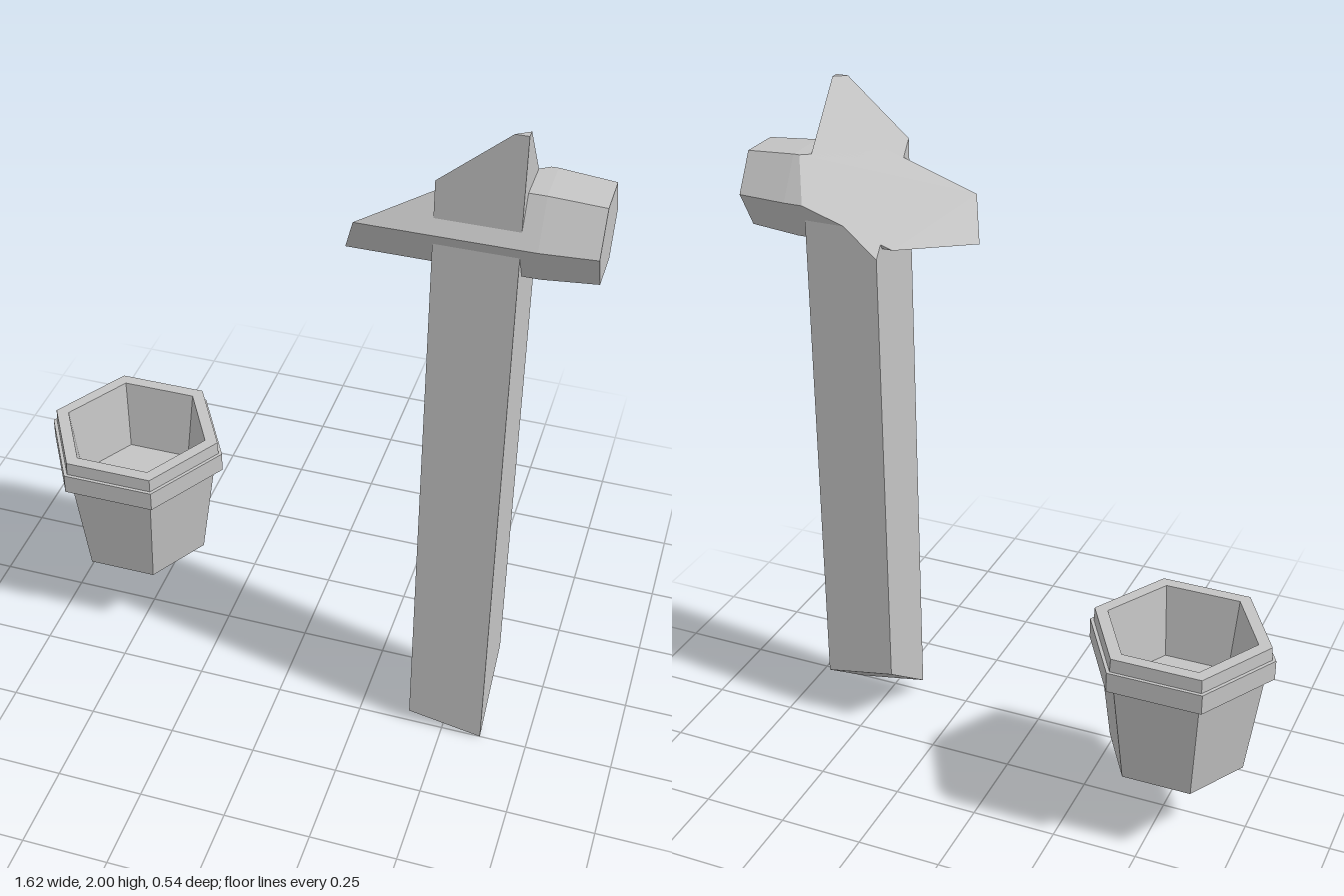
import * as THREE from 'three';

const grey = new THREE.MeshStandardMaterial({ color: 0xc4c4c4, flatShading: true });
grey.name = 'plain grey';

// Slanted plane that slices off the back of the post top and the arm
const cutY = (x, z) => 2 + 0.86 * (x - 0.58) + 1.26 * (z - 0.25);
const cutX = (y, z) => 0.58 + (y - 2 - 1.26 * (z - 0.25)) / 0.86;

// Skin a list of rings (counter-clockwise about the loft direction), with fan caps
function loft(rings) {
  const pos = [];
  const tri = (...pts) => pts.forEach((p) => pos.push(...p));
  const n = rings[0].length;
  for (let r = 0; r < rings.length - 1; r++) {
    const a = rings[r], b = rings[r + 1];
    for (let i = 0; i < n; i++) {
      const j = (i + 1) % n;
      tri(a[i], a[j], b[j]);
      tri(a[i], b[j], b[i]);
    }
  }
  const start = rings[0], end = rings[rings.length - 1];
  for (let i = 1; i < n - 1; i++) {
    tri(start[0], start[i + 1], start[i]);
    tri(end[0], end[i], end[i + 1]);
  }
  const geo = new THREE.BufferGeometry();
  geo.setAttribute('position', new THREE.Float32BufferAttribute(pos, 3));
  geo.computeVertexNormals();
  return geo;
}

function part(name, geometry) {
  const mesh = new THREE.Mesh(geometry, grey);
  mesh.name = name;
  return mesh;
}

// Square post: slanted foot, top sliced by the plane and levelled at the peak
function makePost() {
  const plan = [
    [0.58, 0.25], [0.615, 0.25], [0.615, 0.226],
    [0.615, 0.03], [0.4, 0.03], [0.4, 0.25],
  ];
  const foot = plan.map(([x, z]) => [x, 0.186 * (0.615 - x) + 0.74 * (0.25 - z), z]);
  const top = plan.map(([x, z]) => [x, Math.min(2, cutY(x, z)), z]);
  return part('post', loft([foot, top]));
}

// Six-sided arm crossing the post, sliced on the left and slightly tapered on the right
function makeArm() {
  const ring = (radius, xAt) => Array.from({ length: 6 }, (_, i) => {
    const t = Math.PI / 2 + (i * Math.PI) / 3;
    const y = 1.705 + radius * Math.cos(t);
    const z = 0.135 + radius * Math.sin(t);
    return [xAt(y, z), y, z];
  });
  return part('crossArm', loft([
    ring(0.136, cutX), ring(0.136, () => 0.66), ring(0.124, () => 0.805),
  ]));
}

// Six-sided pot: tapered wall, raised band, lip, and hollow inside
function makePot() {
  const profile = [
    [0, 0.24], [0.2, 0.24], [0.244, 0.56], [0.27, 0.56], [0.27, 0.62],
    [0.259, 0.62], [0.257, 0.66], [0.218, 0.66], [0.189, 0.44], [0, 0.44],
  ].map(([r, y]) => new THREE.Vector2(r, y));
  const pot = part('pot', new THREE.LatheGeometry(profile, 6, Math.PI / 2));
  pot.position.set(-0.54, 0, -0.04);
  return pot;
}

export function createModel() {
  const model = new THREE.Group();
  model.name = 'postAndPot';
  model.add(makePost(), makeArm(), makePot());
  return model;
}
